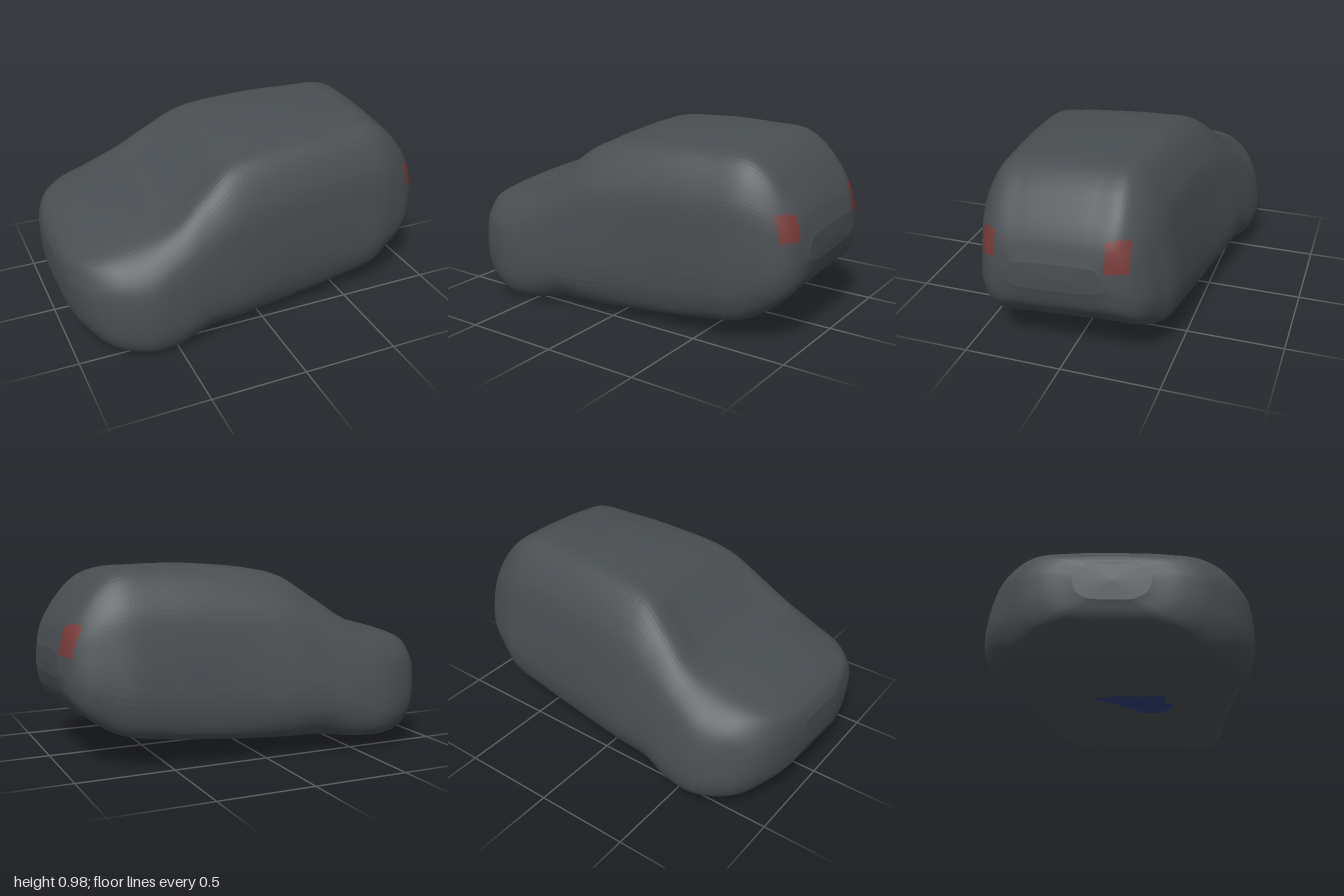
import * as THREE from 'three';

// Body stations from nose (-x) to tail (+x):
// x, bottom y, sill half-width, lower side (z, y), belt (z, y), roof edge (z, y), centre top y
const STATIONS = [
  [-0.995, 0.25, 0.11, 0.16, 0.29, 0.18, 0.36, 0.13, 0.42, 0.43],
  [-0.97, 0.18, 0.25, 0.32, 0.26, 0.34, 0.38, 0.26, 0.465, 0.485],
  [-0.92, 0.13, 0.37, 0.45, 0.22, 0.46, 0.38, 0.36, 0.505, 0.53],
  [-0.82, 0.06, 0.48, 0.56, 0.16, 0.55, 0.39, 0.43, 0.54, 0.58],
  [-0.65, 0.04, 0.575, 0.635, 0.14, 0.62, 0.39, 0.46, 0.585, 0.63],
  [-0.48, 0.045, 0.57, 0.635, 0.16, 0.61, 0.45, 0.46, 0.655, 0.665],
  [-0.32, 0.06, 0.51, 0.605, 0.19, 0.59, 0.48, 0.42, 0.77, 0.765],
  [-0.14, 0.065, 0.50, 0.585, 0.20, 0.565, 0.53, 0.38, 0.885, 0.91],
  [0.20, 0.085, 0.47, 0.53, 0.22, 0.52, 0.56, 0.36, 0.925, 0.965],
  [0.50, 0.11, 0.44, 0.50, 0.24, 0.49, 0.58, 0.34, 0.93, 0.97],
  [0.70, 0.14, 0.42, 0.485, 0.27, 0.47, 0.58, 0.32, 0.925, 0.955],
  [0.80, 0.18, 0.38, 0.45, 0.30, 0.44, 0.58, 0.31, 0.87, 0.895],
  [0.90, 0.26, 0.36, 0.41, 0.36, 0.395, 0.56, 0.30, 0.755, 0.78],
  [0.96, 0.33, 0.31, 0.35, 0.40, 0.345, 0.53, 0.27, 0.66, 0.68],
  [0.995, 0.43, 0.20, 0.24, 0.46, 0.24, 0.50, 0.20, 0.56, 0.57],
];
const ALONG = 126, AROUND = 128;
const LEAN = 0.065; // the body leans slightly about its long axis

// Outline of the blue patch under the floor (x, z)
const PATCH = [[-0.04, 0.12], [-0.28, -0.18], [-0.31, -0.07], [-0.34, 0.17], [-0.165, 0.225]];

// Nine section points on the +z half, bottom centre to top centre
function halfSection([x, yb, wb, wl, yl, wm, ym, wr, yr, yt]) {
  const mix = THREE.MathUtils.lerp;
  return [
    [0, yb], [wb * 0.55, yb], [wb, yb + 0.008], [wl, yl], [wm, ym],
    [mix(wm, wr, 0.45) + 0.16 * (yr - ym) * wm, mix(ym, yr, 0.55)], // window bulge
    [wr, yr], [wr * 0.6, mix(yr, yt, 0.8)], [0, yt],
  ].map(([z, y]) => new THREE.Vector3(x, y, z));
}

function bodyRings() {
  const sections = STATIONS.map(halfSection);
  const rails = sections[0].map(
    (_, k) => new THREE.CatmullRomCurve3(sections.map((s) => s[k])));
  const pivot = new THREE.Vector3(0, 0.4, 0);
  const axis = new THREE.Vector3(1, 0, 0);
  const rings = [];
  for (let i = 0; i <= ALONG; i++) {
    const half = rails.map((r) => r.getPoint(i / ALONG));
    const mirrored = half.slice(1, -1).reverse()
      .map((p) => new THREE.Vector3(p.x, p.y, -p.z));
    const loop = new THREE.CatmullRomCurve3([...half, ...mirrored], true);
    const ring = [];
    for (let j = 0; j < AROUND; j++) {
      ring.push(loop.getPoint(j / AROUND).sub(pivot).applyAxisAngle(axis, LEAN).add(pivot));
    }
    rings.push(ring);
  }
  return rings;
}

// True inside the convex patch outline
function insidePatch(x, z) {
  return PATCH.every(([ax, az], i) => {
    const [bx, bz] = PATCH[(i + 1) % PATCH.length];
    return (bx - ax) * (z - az) - (bz - az) * (x - ax) < 0;
  });
}

// Which part a face belongs to, by its centre
function partAt({ x, y, z }) {
  if (x > 0.85) {
    if (y > 0.545 && y < 0.675 && z > 0.31 && z < 0.395) return 'leftTailLight';
    if (y > 0.56 && y < 0.71 && z < -0.235 && z > -0.345) return 'rightTailLight';
  }
  if (y < 0.15 && insidePatch(x, z)) return 'underbodyPatch';
  return 'body';
}

export function createModel() {
  const slate = new THREE.MeshStandardMaterial({ color: 0x494e52, flatShading: true });
  slate.name = 'slate grey';
  const red = new THREE.MeshStandardMaterial({ color: 0x753a38, flatShading: true });
  red.name = 'dull red';
  const blue = new THREE.MeshStandardMaterial({ color: 0x2f4078, flatShading: true });
  blue.name = 'dark blue';
  const materials = {
    body: slate, leftTailLight: red, rightTailLight: red, underbodyPatch: blue,
  };

  const faces = { body: [], leftTailLight: [], rightTailLight: [], underbodyPatch: [] };
  const addFace = (name, a, b, c) => {
    for (const p of [a, b, c]) faces[name].push(p.x, p.y, p.z);
  };

  // Skin between neighbouring rings
  const rings = bodyRings();
  for (let i = 0; i < ALONG; i++) {
    for (let j = 0; j < AROUND; j++) {
      const k = (j + 1) % AROUND;
      const a = rings[i][j], b = rings[i + 1][j], c = rings[i + 1][k], d = rings[i][k];
      const centre = a.clone().add(b).add(c).add(d).multiplyScalar(0.25);
      const name = partAt(centre);
      addFace(name, a, b, c);
      addFace(name, a, c, d);
    }
  }

  // Nose and tail caps
  for (const [ring, x] of [[rings[0], -1], [rings[ALONG], 1]]) {
    const tip = ring.reduce((s, p) => s.add(p), new THREE.Vector3()).divideScalar(AROUND);
    tip.x = x;
    ring.forEach((p, j) => {
      const q = ring[(j + 1) % AROUND];
      if (x < 0) addFace('body', tip, p, q);
      else addFace('body', tip, q, p);
    });
  }

  const car = new THREE.Group();
  car.name = 'car';
  for (const [name, points] of Object.entries(faces)) {
    const geometry = new THREE.BufferGeometry();
    geometry.setAttribute('position', new THREE.Float32BufferAttribute(points, 3));
    geometry.computeVertexNormals();
    const mesh = new THREE.Mesh(geometry, materials[name]);
    mesh.name = name;
    car.add(mesh);
  }

  // Stand on the ground, centred
  const box = new THREE.Box3().setFromObject(car);
  const mid = box.getCenter(new THREE.Vector3());
  car.position.set(-mid.x, -box.min.y, -mid.z);
  const model = new THREE.Group();
  model.name = 'model';
  model.add(car);
  return model;
}
